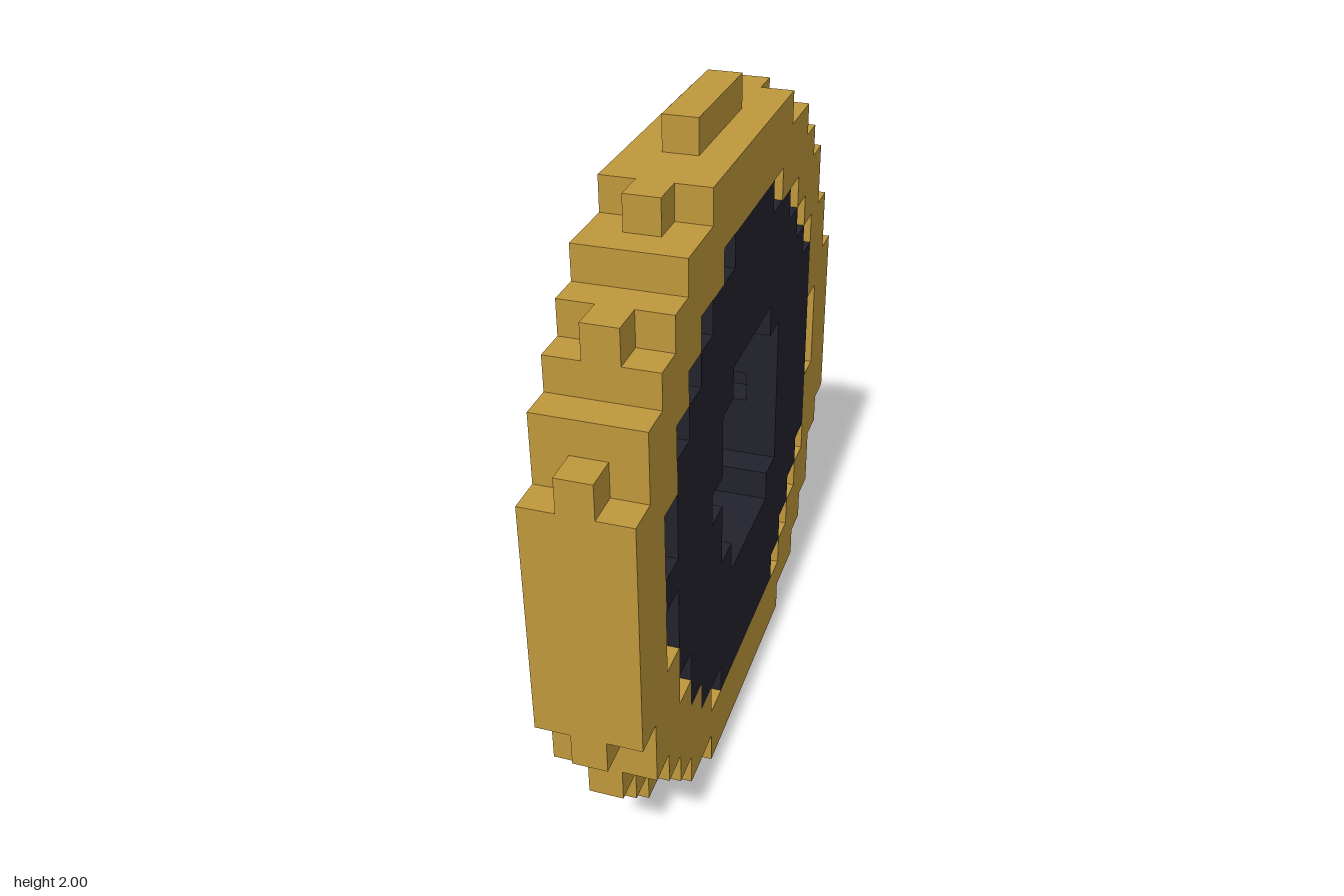
import * as THREE from 'three';

const U = 2 / 21; // edge of one cube

const gold = new THREE.MeshStandardMaterial({ color: 0xc0983c });
gold.name = 'gold';
const dark = new THREE.MeshStandardMaterial({ color: 0x22222d });
dark.name = 'dark slate';

// Stepped outline points from rows of [back, front] spans, starting at row y0
function outline(y0, rows) {
  const pts = [];
  const add = (z, y) => {
    const last = pts[pts.length - 1];
    if (!last || last.x !== z || last.y !== y) pts.push(new THREE.Vector2(z, y));
  };
  rows.forEach(([, hi], i) => { add(hi, y0 + i); add(hi, y0 + i + 1); });
  for (let i = rows.length - 1; i >= 0; i--) {
    add(rows[i][0], y0 + i + 1);
    add(rows[i][0], y0 + i);
  }
  return pts;
}

// One-cube-thick ring standing in the z-y plane, in layer -1, 0 or 1 along x
function ring(name, layer, outer, inner, material) {
  const shape = new THREE.Shape(outer);
  shape.holes.push(new THREE.Path(inner));
  const geo = new THREE.ExtrudeGeometry(shape, { depth: 1, bevelEnabled: false });
  geo.rotateY(-Math.PI / 2);
  geo.translate(layer + 0.5, 0, 0);
  geo.scale(U, U, U);
  const mesh = new THREE.Mesh(geo, material);
  mesh.name = name;
  return mesh;
}

function block(name, x0, x1, y, z0, z1) {
  const mesh = new THREE.Mesh(new THREE.BoxGeometry((x1 - x0) * U, U, (z1 - z0) * U), gold);
  mesh.position.set((x0 + x1) / 2 * U, (y + 0.5) * U, (z0 + z1) / 2 * U);
  mesh.name = name;
  return mesh;
}

export function createModel() {
  const group = new THREE.Group();
  group.name = 'wheel';

  // Rim silhouettes: the middle layer stands one step proud of the sides
  const rimMiddle = outline(0, [
    [-3, 3], [-5, 5], [-7, 7], [-8, 8], [-8, 9], [-9, 9], [-9, 10],
    [-10, 10], [-10, 10], [-10, 10], [-10, 10], [-10, 10], [-10, 10], [-10, 10],
    [-9, 10], [-9, 9], [-8, 8], [-7, 8], [-6, 6], [-5, 5], [-2, 2],
  ]);
  const rimSide = outline(1, [
    [-4, 4], [-6, 6], [-7, 7], [-8, 8], [-8, 9], [-9, 9],
    [-10, 10], [-10, 10], [-10, 10], [-10, 10], [-10, 10], [-10, 10], [-9, 10],
    [-9, 9], [-8, 9], [-8, 8], [-7, 7], [-6, 6], [-4, 4],
  ]);

  // Dark disc silhouettes
  const discLeft = outline(3, [
    [-3, 3], [-4, 5], [-5, 6], [-6, 6],
    [-7, 7], [-7, 7], [-7, 7], [-7, 8], [-7, 7], [-7, 7], [-7, 7],
    [-6, 6], [-5, 5], [-4, 4], [-2, 2],
  ]);
  const discRight = outline(3, [
    [-4, 4], [-5, 5], [-6, 6], [-7, 7],
    [-7, 7], [-7, 8], [-7, 8], [-8, 8], [-7, 8], [-7, 8], [-7, 7],
    [-7, 7], [-6, 6], [-5, 5], [-3, 3],
  ]);

  // Rim opening on the left, leaving notches around the disc
  const openingLeft = outline(3, [
    [-4, 4], [-5, 5], [-6, 6], [-7, 7],
    [-7, 7], [-7, 8], [-8, 8], [-8, 8], [-8, 8], [-7, 8], [-7, 7],
    [-7, 7], [-6, 6], [-5, 5], [-3, 3],
  ]);

  // Bore through the disc; the middle layer has deeper pockets
  const bore = outline(7, [[-2, 2], [-3, 3], [-3, 3], [-3, 4], [-3, 3], [-3, 3], [-2, 2]]);
  const boreMiddle = outline(7, [[-2, 2], [-3, 3], [-3, 4], [-4, 4], [-3, 4], [-3, 3], [-2, 2]]);

  group.add(
    ring('leftRim', 1, rimSide, openingLeft, gold),
    ring('middleRim', 0, rimMiddle, discLeft, gold),
    ring('rightRim', -1, rimSide, discRight, gold),
    ring('leftDisc', 1, discLeft, bore, dark),
    ring('middleDisc', 0, discLeft, boreMiddle, dark),
    ring('rightDisc', -1, discRight, bore, dark),
    block('bottomTread', -1.5, -0.5, 0, -1, 2),
  );
  return group;
}
